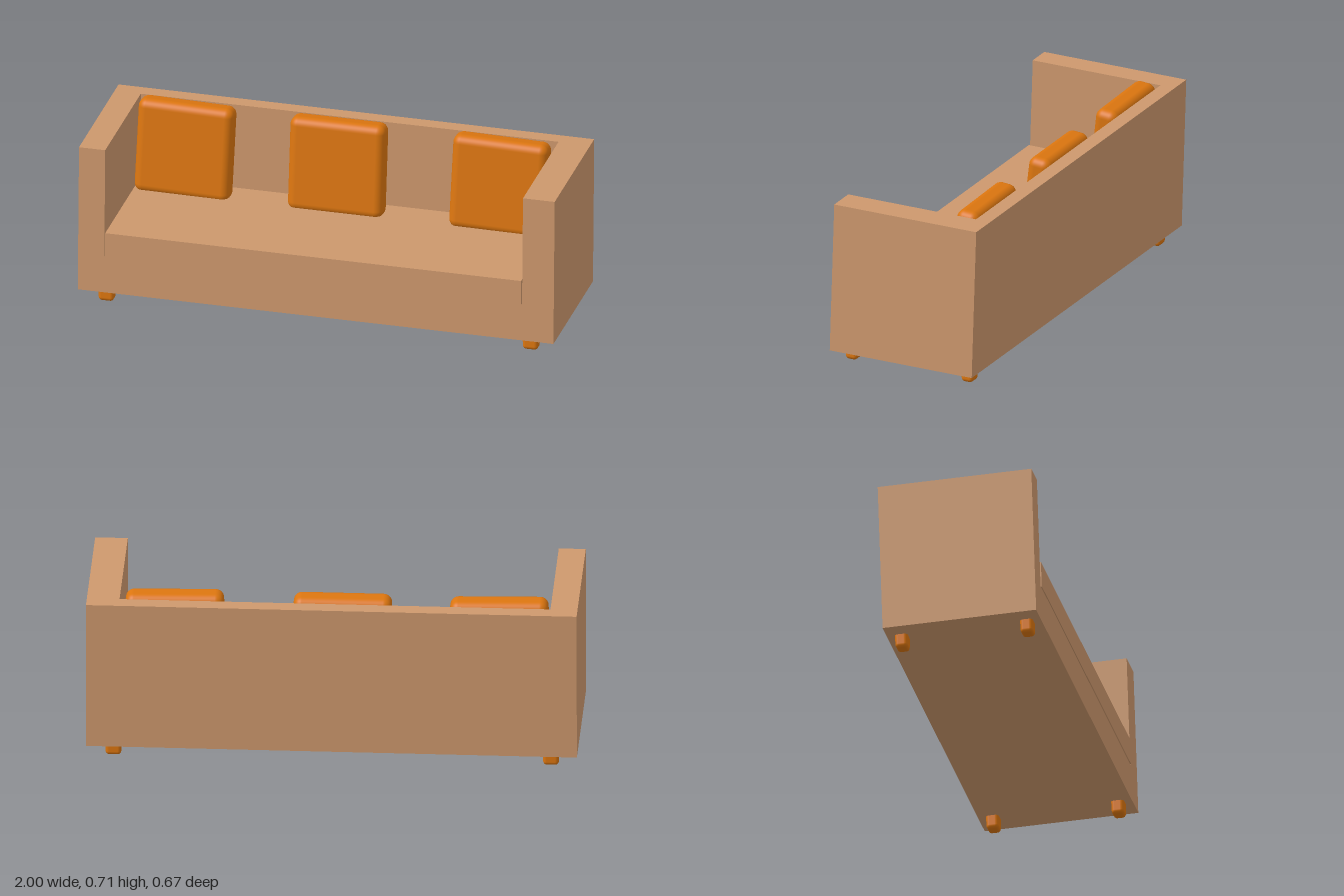
import * as THREE from 'three';
import { RoundedBoxGeometry } from 'three/addons/geometries/RoundedBoxGeometry.js';

const fabric = new THREE.MeshStandardMaterial({ color: 0xcd986d });
const orange = new THREE.MeshStandardMaterial({ color: 0xdb750f });

// Half sizes of the body, and the inner faces of arms, base and back
const HX = 0.998, HY = 0.317, HZ = 0.319;
const IN_L = 0.865, IN_R = -0.888, BASE_TOP = -0.16, BACK_FRONT = -0.255;

function addPart(parent, name, geometry, material, x, y, z) {
  const mesh = new THREE.Mesh(geometry, material);
  mesh.name = name;
  mesh.position.set(x, y, z);
  parent.add(mesh);
  return mesh;
}

export function createModel() {
  const model = new THREE.Group();
  model.name = 'sofa';

  // The whole sofa leans back very slightly
  const sofa = new THREE.Group();
  sofa.name = 'sofaBody';
  sofa.position.y = 0.383;
  sofa.rotation.set(-0.032, -0.005, 0);
  model.add(sofa);

  // Arms and base: one U-shaped front profile run through the depth
  const profile = new THREE.Shape([
    [-HX, -HY], [HX, -HY], [HX, HY], [IN_L, HY],
    [IN_L, BASE_TOP], [IN_R, BASE_TOP], [IN_R, HY], [-HX, HY],
  ].map(([x, y]) => new THREE.Vector2(x, y)));
  const frame = new THREE.ExtrudeGeometry(profile, { depth: 2 * HZ, bevelEnabled: false });
  addPart(sofa, 'armsAndBase', frame, fabric, 0, 0, -HZ);

  // Backrest between the arms
  const midX = (IN_L + IN_R) / 2, innerWidth = IN_L - IN_R;
  addPart(sofa, 'backrest',
    new THREE.BoxGeometry(innerWidth, HY - BASE_TOP, BACK_FRONT + HZ),
    fabric, midX, (HY + BASE_TOP) / 2, (BACK_FRONT - HZ) / 2);

  // Seat cushion, standing a hair proud of the base with a narrow gap around it
  const seatFront = HZ + 0.004, seatBack = BACK_FRONT + 0.004, seatTop = -0.053;
  addPart(sofa, 'seatCushion',
    new THREE.BoxGeometry(innerWidth - 0.008, seatTop - BASE_TOP + 0.002, seatFront - seatBack),
    fabric, midX, (seatTop + BASE_TOP) / 2 + 0.001, (seatFront + seatBack) / 2);

  // Three pillows leaning on the backrest
  const pillow = new RoundedBoxGeometry(0.4, 0.4, 0.1, 5, 0.035);
  [[-0.68, -0.02], [-0.04, 0], [0.64, -0.02]].forEach(([x, roll], i) => {
    const mesh = addPart(sofa, `pillow${i + 1}`, pillow, orange, x, 0.131, -0.184);
    mesh.rotation.set(-0.09, 0, roll);
  });

  // Four short rounded feet, a little narrower at the bottom
  const foot = new RoundedBoxGeometry(0.07, 0.1, 0.056, 4, 0.016);
  const p = foot.attributes.position;
  for (let i = 0; i < p.count; i++) {
    const s = 0.95 + p.getY(i);
    p.setX(i, p.getX(i) * s);
    p.setZ(i, p.getZ(i) * s);
  }
  foot.computeBoundingBox();
  for (const x of [-0.89, 0.89]) {
    for (const z of [-0.26, 0.26]) {
      addPart(sofa, z > 0 ? 'frontFoot' : 'backFoot', foot, orange, x, -0.323, z);
    }
  }
  return model;
}
